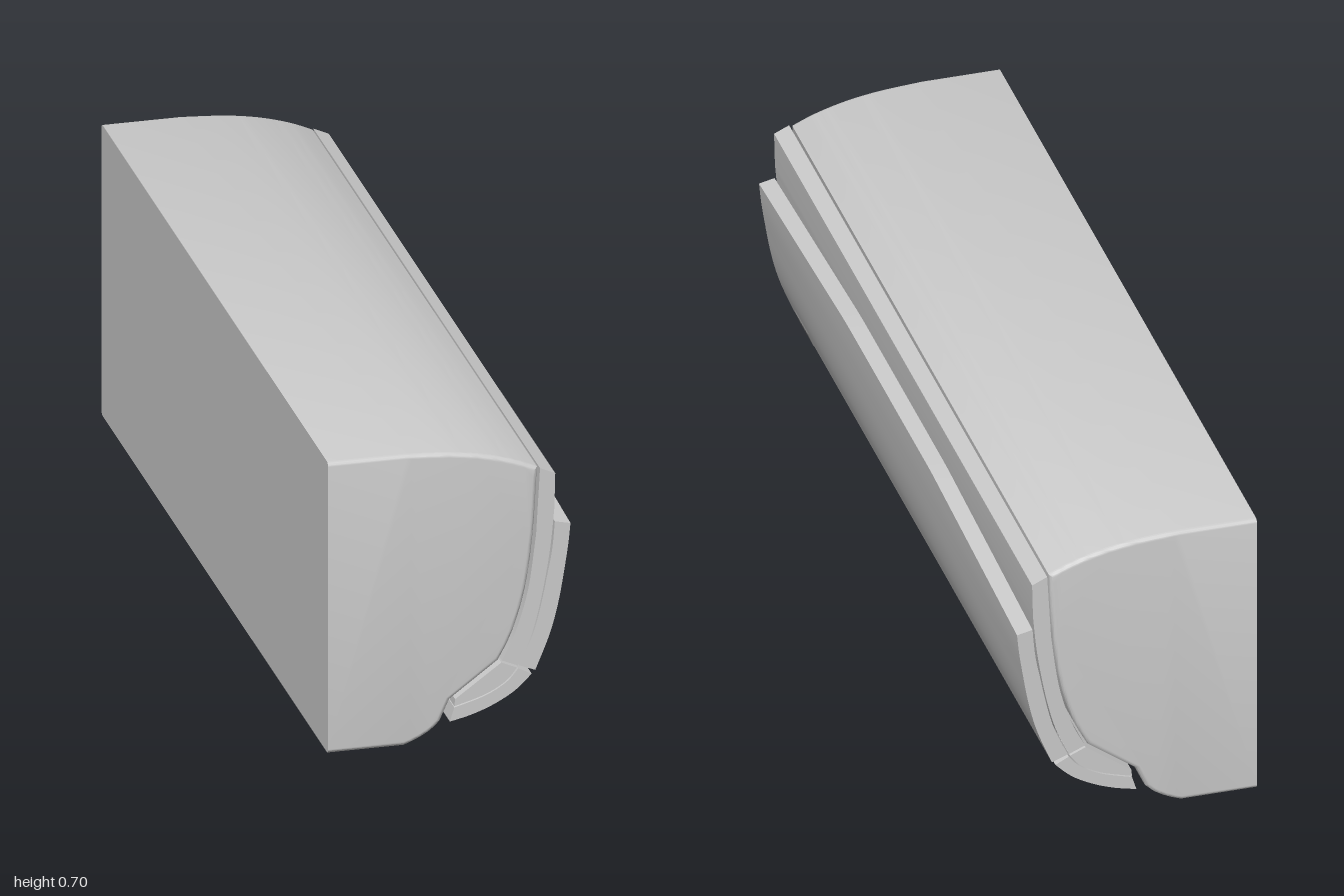
import * as THREE from 'three';
import { toCreasedNormals } from 'three/addons/utils/BufferGeometryUtils.js';

const grey = new THREE.MeshStandardMaterial({ color: 0xcccccc });
const labelGrey = new THREE.MeshStandardMaterial({ color: 0x777777 });
const black = new THREE.MeshStandardMaterial({ color: 0x222222 });
const blue = new THREE.MeshStandardMaterial({ color: 0x6688dd });

// Closed outline from runs of [x, y]; runs of three or more points become smooth curves
function outline(...runs) {
  const pts = [];
  for (const run of runs) {
    const v = run.map(([x, y]) => new THREE.Vector2(x, y));
    const smooth = v.length > 2 ? new THREE.SplineCurve(v).getPoints((v.length - 1) * 5) : v;
    for (const p of smooth) {
      if (!pts.length || pts[pts.length - 1].distanceTo(p) > 1e-4) pts.push(p);
    }
  }
  return new THREE.Shape(pts);
}

// Extrude an outline lengthwise from z0 to z1, optionally rounding the end edges and reshaping
function slab(name, shape, z0, z1, { bevel = 0, steps = 1, reshape } = {}) {
  const geo = new THREE.ExtrudeGeometry(shape, {
    depth: z1 - z0 - 2 * bevel, steps, bevelEnabled: bevel > 0,
    bevelThickness: bevel, bevelSize: bevel, bevelOffset: -bevel, bevelSegments: 4,
  });
  geo.translate(0, 0, z0 + bevel);
  if (reshape) {
    const p = geo.attributes.position, v = new THREE.Vector3();
    for (let i = 0; i < p.count; i++) {
      reshape(v.fromBufferAttribute(p, i));
      p.setXYZ(i, v.x, v.y, v.z);
    }
  }
  const mesh = new THREE.Mesh(toCreasedNormals(geo, 0.5), grey);
  mesh.name = name;
  return mesh;
}

// Place a part on a surface with its local y pointing along the outward normal (nx, ny)
function mount(name, geo, material, [x, y, z], [nx, ny]) {
  const mesh = new THREE.Mesh(geo, material);
  mesh.name = name;
  mesh.position.set(x, y, z);
  mesh.rotation.z = Math.atan2(-nx, ny);
  return mesh;
}

export function createModel() {
  const model = new THREE.Group();
  model.name = 'wallAirConditioner';

  // Main casing, with rounded ends but a sharp flat back
  const casing = outline(
    [[-0.28, 0], [-0.105, 0]],
    [[-0.105, 0], [-0.075, 0.012], [-0.045, 0.029], [-0.022, 0.05]],
    [[0, 0.1], [0.112, 0.183]],
    [[0.112, 0.183], [0.145, 0.25], [0.174, 0.35], [0.192, 0.48], [0.202, 0.64]],
    [[0.202, 0.64], [0.15, 0.662], [0.08, 0.682], [0, 0.695], [-0.1, 0.702]],
    [[-0.28, 0.702]],
  );
  model.add(slab('casing', casing, -1, 1, {
    bevel: 0.01, reshape: (v) => { if (v.x < -0.265) v.x = -0.28; },
  }));

  // Inner front frame
  const frame = outline(
    [[0.207, 0.638], [0.242, 0.622]],
    [[0.24, 0.54], [0.23, 0.44], [0.211, 0.33], [0.188, 0.24], [0.156, 0.167]],
    [[0.119, 0.183], [0.151, 0.25], [0.18, 0.35], [0.198, 0.48], [0.207, 0.638]].slice(0, 4),
  );
  model.add(slab('frontFrame', frame, -1, 1));

  // Outer front panel, its top edge sloping down towards both ends
  const panel = outline(
    [[0.241, 0.54], [0.277, 0.532]],
    [[0.277, 0.532], [0.27, 0.45], [0.255, 0.34], [0.232, 0.244], [0.196, 0.152]],
    [[0.159, 0.167], [0.191, 0.24], [0.214, 0.33], [0.233, 0.44], [0.241, 0.54]],
  );
  model.add(slab('frontPanel', panel, -1, 1, {
    steps: 40,
    reshape: (v) => {
      const drop = 0.034 * THREE.MathUtils.clamp((Math.abs(v.z) - 0.33) / 0.67, 0, 1);
      v.y -= drop * THREE.MathUtils.clamp((v.y - 0.38) / 0.15, 0, 1);
    },
  }));

  // Backing strip behind the outlet flaps
  const backing = outline(
    [[0.012, 0.101], [0.118, 0.178], [0.154, 0.162]],
    [[0.154, 0.162], [0.128, 0.132], [0.08, 0.105], [0.01, 0.084]],
  );
  // first run is a true corner, so keep it straight
  const straight = outline(
    [[0.012, 0.101], [0.118, 0.178]],
    [[0.154, 0.162], [0.128, 0.132], [0.08, 0.105], [0.01, 0.084]],
  );
  backing.copy(straight);
  model.add(slab('outletBacking', backing, -1, 1));

  // Outlet flaps: a row of curved sections with fine gaps between them
  const flap = outline(
    [[0.157, 0.16], [0.188, 0.144]],
    [[0.188, 0.144], [0.15, 0.108], [0.1, 0.079], [0.05, 0.06], [0, 0.048]],
    [[0.01, 0.081], [0.08, 0.102], [0.13, 0.13], [0.157, 0.16]],
  );
  const cuts = [-1, -0.915, -0.645, 0.65, 0.915, 1];
  const gap = 0.002;
  for (let i = 0; i < cuts.length - 1; i++) {
    const z0 = cuts[i] + (i > 0 ? gap : 0);
    const z1 = cuts[i + 1] - (i < cuts.length - 2 ? gap : 0);
    model.add(slab('outletFlap' + (i + 1), flap, z0, z1));
  }

  // Indicator buttons and small display
  const down = [0.53, -0.85];
  [[0.131, 0.096], [0.148, 0.107], [0.164, 0.121]].forEach(([x, y], i) => {
    model.add(mount('button' + (i + 1), new THREE.SphereGeometry(0.006, 16, 10), black, [x, y, -0.883], down));
  });
  model.add(mount('display', new THREE.BoxGeometry(0.014, 0.003, 0.02), blue, [0.148, 0.107, -0.845], [0.62, -0.78]));

  // Round sensor eye
  const eye = [0.113, 0.0862, -0.957];
  const ring = new THREE.TorusGeometry(0.023, 0.003, 10, 40).rotateX(Math.PI / 2);
  model.add(mount('sensorRing', ring, grey, eye, down));
  const lens = new THREE.SphereGeometry(0.015, 24, 12).scale(1, 0.3, 1);
  model.add(mount('sensorLens', lens, blue, eye, down));

  // Blank plate on the front panel
  model.add(mount('plate', new THREE.BoxGeometry(0.036, 0.003, 0.104), labelGrey, [0.2125, 0.19, 0.862], [0.925, -0.38]));

  return model;
}
